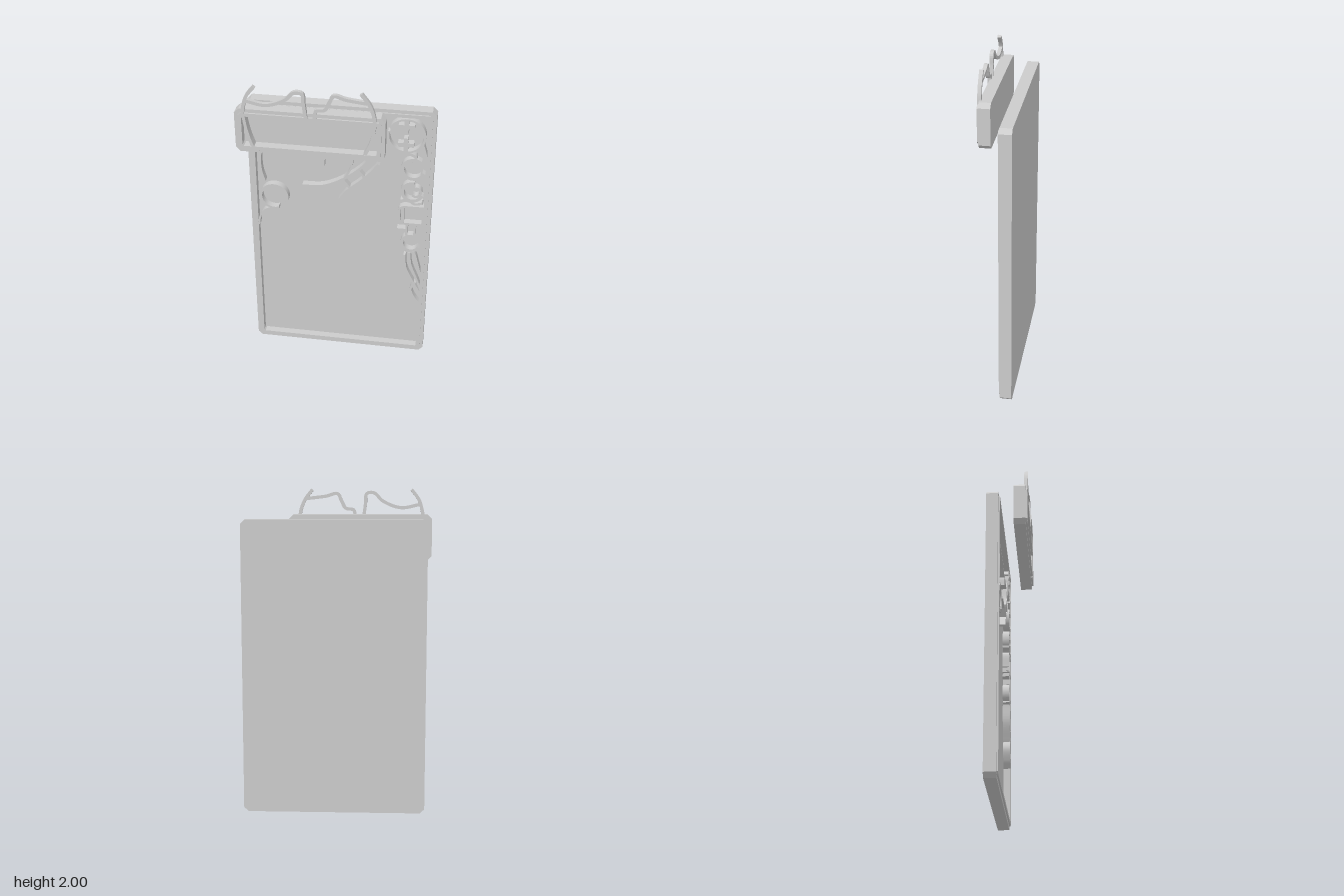
import * as THREE from 'three';

const material = new THREE.MeshStandardMaterial({ color: 0xcccccc });

// Rectangle outline with cut corners
function cutRect(Type, [x0, x1, y0, y1], inset, c) {
  x0 += inset; x1 -= inset; y0 += inset; y1 -= inset;
  return new Type([
    [x0 + c, y0], [x1 - c, y0], [x1, y0 + c], [x1, y1 - c],
    [x1 - c, y1], [x0 + c, y1], [x0, y1 - c], [x0, y0 + c],
  ].map(([x, y]) => new THREE.Vector2(x, y)));
}

// Flat outline pushed out from z0 to z1
function slab(name, shape, z0, z1) {
  const geo = new THREE.ExtrudeGeometry(shape, { depth: z1 - z0, bevelEnabled: false, curveSegments: 32 });
  geo.translate(0, 0, z0);
  const mesh = new THREE.Mesh(geo, material);
  mesh.name = name;
  return mesh;
}

// Shallow tray: back plate, surrounding wall and a narrow raised lip
function tray(name, box, back, floor, shelf, lip) {
  const g = new THREE.Group();
  g.name = name;
  const ring = (inset, c) => {
    const s = cutRect(THREE.Shape, box, inset, c);
    s.holes.push(cutRect(THREE.Path, box, 0.043, 0.008));
    return s;
  };
  g.add(
    slab(name + 'Back', cutRect(THREE.Shape, box, 0, 0.027), back, floor),
    slab(name + 'Wall', ring(0, 0.027), floor, shelf),
    slab(name + 'Lip', ring(0.022, 0.016), shelf, lip),
  );
  return g;
}

// Ribbon of constant width following a smooth curve
function stroke(name, pts, width, z0, z1) {
  const curve = new THREE.CatmullRomCurve3(pts.map(([x, y]) => new THREE.Vector3(x, y, 0)));
  const n = pts.length * 8, left = [], right = [];
  for (let i = 0; i <= n; i++) {
    const p = curve.getPointAt(i / n), t = curve.getTangentAt(i / n);
    const nx = -t.y * width / 2, ny = t.x * width / 2;
    left.push(new THREE.Vector2(p.x + nx, p.y + ny));
    right.unshift(new THREE.Vector2(p.x - nx, p.y - ny));
  }
  return slab(name, new THREE.Shape([...left, ...right]), z0, z1);
}

// Points along an arc, angles in degrees
function arc(cx, cy, r, a0, a1, n = 12) {
  return Array.from({ length: n + 1 }, (_, i) => {
    const a = THREE.MathUtils.degToRad(a0 + (a1 - a0) * i / n);
    return [cx + r * Math.cos(a), cy + r * Math.sin(a)];
  });
}

export function createModel() {
  const model = new THREE.Group();
  const FLOOR = -0.09, TOP = -0.046;

  // Large tray and the small plaque floating in front of it
  model.add(tray('tray', [-0.55, 0.575, 0, 1.815], -0.126, FLOOR, -0.054, -0.045));
  model.add(tray('plaque', [-0.58, 0.295, 1.56, 1.84], 0.041, 0.068, 0.112, 0.123));

  // Wire-like crest above the plaque
  const crest = new THREE.Group();
  crest.name = 'crest';
  [
    [[-0.455, 1.99], [-0.5, 1.93], [-0.52, 1.87], [-0.53, 1.81]],
    [[-0.51, 1.9], [-0.39, 1.88], [-0.28, 1.92], [-0.225, 1.97], [-0.18, 1.965], [-0.172, 1.9], [-0.16, 1.81]],
    [[0.155, 1.99], [0.2, 1.93], [0.225, 1.87], [0.235, 1.81]],
    [[-0.11, 1.81], [-0.1, 1.865], [-0.05, 1.877], [-0.025, 1.92], [0, 1.965], [0.07, 1.95], [0.19, 1.935]],
  ].forEach(p => crest.add(stroke('crestWire', p, 0.02, 0.102, 0.125)));
  model.add(crest);

  // Curved sides inside the plaque
  [
    [[-0.525, 1.8], [-0.51, 1.71], [-0.488, 1.63], [-0.468, 1.59], [-0.435, 1.585]],
    [[0.235, 1.8], [0.22, 1.7], [0.195, 1.63], [0.17, 1.59], [0.13, 1.585]],
  ].forEach(p => model.add(stroke('plaqueCurve', p, 0.018, 0.066, 0.122)));

  // Raised line work on the tray floor
  const lines = new THREE.Group();
  lines.name = 'trayLineWork';
  const line = (name, p, w) => lines.add(stroke(name, p, w, FLOOR - 0.004, TOP));

  // Sweeping outline on the left
  line('outline', [[-0.455, 1.26], [-0.475, 1.34], [-0.475, 1.45], [-0.46, 1.475], [-0.32, 1.493],
    [-0.17, 1.49], [-0.1, 1.465], [-0.03, 1.478], [0.085, 1.475]], 0.012);
  line('outlineHook', [[-0.06, 1.475], [-0.085, 1.455], [-0.09, 1.4]], 0.016);
  line('outlineSide', [[0.09, 1.475], [0.075, 1.39], [0.03, 1.32], [-0.06, 1.27]], 0.01);
  line('scroll', arc(-0.4, 1.15, 0.083, 130, -35), 0.016);
  line('scrollSide', arc(-0.4, 1.15, 0.083, 130, 290), 0.014);
  line('scrollTail', [[-0.41, 1.068], [-0.46, 1.045], [-0.495, 0.99], [-0.505, 0.93]], 0.012);

  // Two arcs joined by rungs
  line('longArc', [[-0.22, 1.25], [-0.1, 1.257], [0, 1.3], [0.11, 1.38], [0.18, 1.46], [0.23, 1.59]], 0.016);
  line('shortArc', [[0.01, 1.17], [0.06, 1.24], [0.14, 1.315], [0.2, 1.38], [0.245, 1.44]], 0.016);
  line('rung', [[0.025, 1.32], [0.075, 1.255]], 0.014);
  line('rung', [[0.12, 1.39], [0.165, 1.335]], 0.014);

  // Round badge with two crosses
  line('badgeRing', arc(0.405, 1.65, 0.108, 155, -195, 24), 0.012);
  for (const y of [1.71, 1.59]) {
    line('crossBar', [[0.355, y], [0.45, y]], 0.026);
    line('crossPost', [[0.402, y - 0.045], [0.402, y + 0.045]], 0.026);
  }

  // Column of scrolls and brackets along the right edge
  line('edgeLine', [[0.505, 1.6], [0.53, 1.5], [0.535, 1.2], [0.532, 0.9]], 0.01);
  line('columnScroll', arc(0.455, 1.425, 0.066, 50, 340), 0.02);
  line('columnHook', [[0.385, 1.535], [0.43, 1.53], [0.465, 1.51], [0.455, 1.47]], 0.018);
  line('columnScroll', arc(0.455, 1.265, 0.062, 80, 340), 0.02);
  line('columnCurl', arc(0.475, 1.265, 0.03, 100, -130), 0.016);
  line('columnHook', [[0.385, 1.2], [0.43, 1.205], [0.47, 1.18], [0.52, 1.19]], 0.016);
  for (const y of [1.155, 1.03]) line('bracketBar', [[0.4, y], [0.53, y]], 0.014);
  for (const x of [0.405, 0.525]) line('bracketPost', [[x, 1.155], [x, 1.03]], 0.012);
  line('bracketSide', [[0.405, 1.155], [0.382, 1.14], [0.382, 1.05]], 0.012);
  for (const x of [0.43, 0.48]) line('connector', [[x, 1.03], [x, 0.94]], 0.014);
  line('connectorBar', [[0.37, 0.985], [0.43, 0.985]], 0.014);
  line('columnScroll', arc(0.46, 0.885, 0.056, 70, 330), 0.018);

  // Trailing strands and leaf at the bottom of the column
  line('strand', [[0.425, 0.79], [0.435, 0.69], [0.48, 0.59], [0.53, 0.5]], 0.014);
  line('strand', [[0.43, 0.825], [0.48, 0.81], [0.505, 0.74], [0.525, 0.66]], 0.014);
  line('strand', [[0.455, 0.81], [0.465, 0.72], [0.51, 0.6], [0.545, 0.5]], 0.014);
  line('leaf', [[0.5, 0.58], [0.475, 0.52], [0.5, 0.45], [0.54, 0.4]], 0.014);
  line('edgeLine', [[0.545, 0.5], [0.54, 0.35], [0.535, 0.05]], 0.01);
  model.add(lines);

  return model;
}
